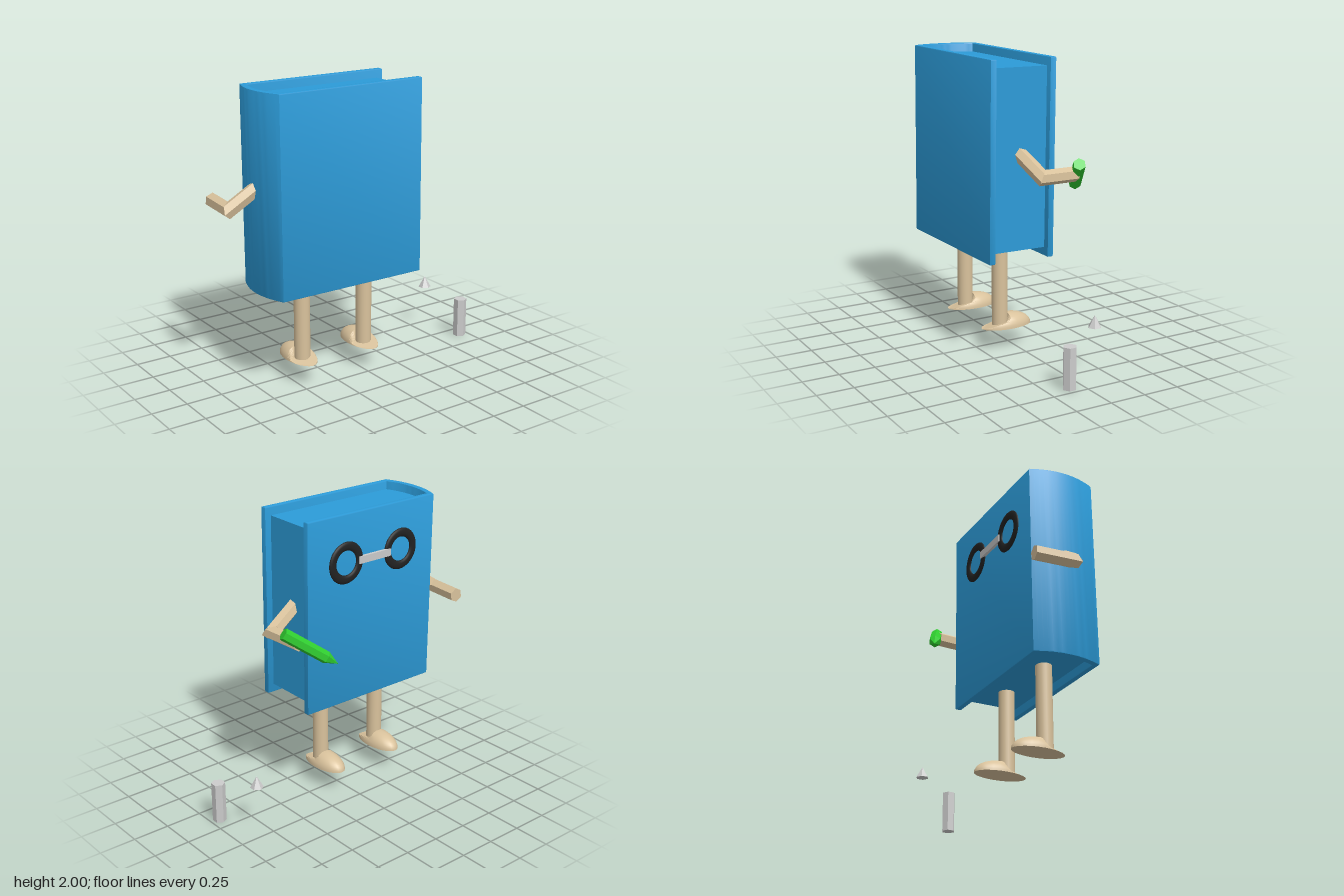
import * as THREE from 'three';
import { mergeGeometries, toCreasedNormals } from 'three/addons/utils/BufferGeometryUtils.js';

const mat = (color, flatShading = false, side = THREE.FrontSide) => new THREE.MeshStandardMaterial({ color, flatShading, side });
const BLUE = 0x2c9bd8, TAN = 0xd9c29c, GREEN = 0x2fcc2f, BLACK = 0x222222, GREY = 0xcccccc;
const V = (x, y, z) => new THREE.Vector3(x, y, z);

function add(parent, name, geometry, material, x = 0, y = 0, z = 0) {
  const mesh = new THREE.Mesh(geometry, material);
  mesh.name = name;
  mesh.position.set(x, y, z);
  parent.add(mesh);
  return mesh;
}

// Prism or cone from a to b
function rod(a, b, rBottom, rTop, sides = 6) {
  const d = b.clone().sub(a);
  const g = new THREE.CylinderGeometry(rTop, rBottom, d.length(), sides);
  g.applyQuaternion(new THREE.Quaternion().setFromUnitVectors(V(0, 1, 0), d.normalize()));
  const m = a.clone().add(b).multiplyScalar(0.5);
  return g.translate(m.x, m.y, m.z);
}

// Two hexagonal prisms meeting in a mitred elbow
function bentArm(shoulder, elbow, hand, r) {
  const d1 = elbow.clone().sub(shoulder).normalize();
  const d2 = hand.clone().sub(elbow).normalize();
  const n = d1.clone().add(d2).normalize();
  const parts = [[shoulder, elbow, d1], [elbow, hand, d2]].map(([a, b, d]) => {
    const g = rod(a, b, r, r);
    const p = g.attributes.position, v = new THREE.Vector3();
    for (let i = 0; i < p.count; i++) {
      v.fromBufferAttribute(p, i).sub(elbow);
      if (Math.abs(v.dot(d)) > 0.001) continue;
      v.addScaledVector(d, -v.dot(n) / d.dot(n)).add(elbow);
      p.setXYZ(i, v.x, v.y, v.z);
    }
    return g;
  });
  return mergeGeometries(parts);
}

// Extrudes a plan outline (x, z) upward through the given height, centred on y = 0
function upright(shape, height, bevel) {
  const g = new THREE.ExtrudeGeometry(shape, {
    depth: height - 2 * bevel, bevelEnabled: bevel > 0, bevelSize: bevel,
    bevelThickness: bevel, bevelOffset: -bevel, bevelSegments: 2, curveSegments: 16,
  });
  g.rotateX(Math.PI / 2).translate(0, height / 2 - bevel, 0);
  return toCreasedNormals(g, 0.7);
}

// Dome-shaped toe facing -z, with a low sloping heel behind it
function footGeometry() {
  const g = new THREE.SphereGeometry(1, 24, 12, 0, Math.PI * 2, 0, Math.PI / 2);
  g.scale(0.095, 0.095, 0.185);
  const p = g.attributes.position;
  for (let i = 0; i < p.count; i++) {
    const x = p.getX(i), z = p.getZ(i);
    if (z > 0.005) p.setY(i, Math.min(p.getY(i), Math.max(0, 0.035 * (1 - z / 0.185) + 0.2 * x)));
  }
  const sole = new THREE.CircleGeometry(1, 24).rotateX(Math.PI / 2).scale(0.095, 1, 0.185);
  return toCreasedNormals(mergeGeometries([g, sole]), 0.6);
}

export function createModel() {
  const model = new THREE.Group();
  model.name = 'bookCharacter';

  // Book, leaning very slightly
  const book = new THREE.Group();
  book.name = 'book';
  book.position.set(0, 1.34, 0.095);
  book.rotation.x = -0.01;
  model.add(book);

  const cover = new THREE.Shape();
  cover.moveTo(0.36, -0.238);
  cover.lineTo(0.36, -0.198);
  cover.lineTo(-0.69, -0.198);
  cover.quadraticCurveTo(-0.77, 0, -0.69, 0.198);
  cover.lineTo(0.36, 0.198);
  cover.lineTo(0.36, 0.238);
  cover.lineTo(-0.72, 0.238);
  cover.quadraticCurveTo(-0.83, 0, -0.72, -0.238);
  add(book, 'cover', upright(cover, 1.32, 0.008), mat(BLUE));

  const pages = new THREE.Shape();
  pages.moveTo(0.315, -0.203);
  pages.lineTo(0.315, 0.203);
  pages.lineTo(-0.69, 0.203);
  pages.quadraticCurveTo(-0.775, 0, -0.69, -0.203);
  add(book, 'pages', upright(pages, 1.2, 0), mat(BLUE));

  // Glasses on the face side of the cover
  const glasses = new THREE.Group();
  glasses.name = 'glasses';
  glasses.position.set(-0.19, 0.335, -0.24);
  book.add(glasses);
  for (const s of [-1, 1]) {
    const ring = new THREE.TorusGeometry(0.113, 0.03, 10, 36).scale(1, 1, 0.4);
    add(glasses, s > 0 ? 'leftRim' : 'rightRim', ring, mat(BLACK), s * 0.235);
  }
  add(glasses, 'bridge', new THREE.BoxGeometry(0.27, 0.05, 0.025), mat(GREY), 0, 0, -0.006);

  // Legs and feet
  for (const [side, x] of [['right', -0.435], ['left', 0.065]]) {
    add(model, side + 'Leg', new THREE.CylinderGeometry(0.054, 0.054, 0.58, 24), mat(TAN), x, 0.45, 0.1);
    add(model, side + 'Foot', footGeometry(), mat(TAN, false, THREE.DoubleSide), x, 0.145, 0.05);
  }

  // Arms
  add(model, 'rightArm', bentArm(V(-0.69, 1.41, 0.085), V(-0.925, 1.25, 0.04), V(-0.9, 1.25, -0.225), 0.05), mat(TAN, true));
  add(model, 'leftArm', bentArm(V(0.27, 1.39, 0.085), V(0.51, 1.255, 0.04), V(0.49, 1.25, -0.22), 0.05), mat(TAN, true));

  // Pencil held in the left hand
  const end = V(0.59, 1.335, -0.185), tip = V(0.28, 1.1, -0.345);
  const neck = end.clone().lerp(tip, 0.78);
  const pencil = mergeGeometries([rod(end, neck, 0.042, 0.042), rod(neck, tip, 0.042, 0.001)]);
  add(model, 'pencil', pencil, mat(GREEN, true));

  // Loose pencil pieces beside the figure
  add(model, 'looseShaft', new THREE.CylinderGeometry(0.046, 0.046, 0.28, 6), mat(GREY, true), 0.937, 0.14, 0.098);
  add(model, 'looseTip', new THREE.ConeGeometry(0.045, 0.08, 6), mat(GREY, true), 0.815, 0.36, -0.168);

  return model;
}
